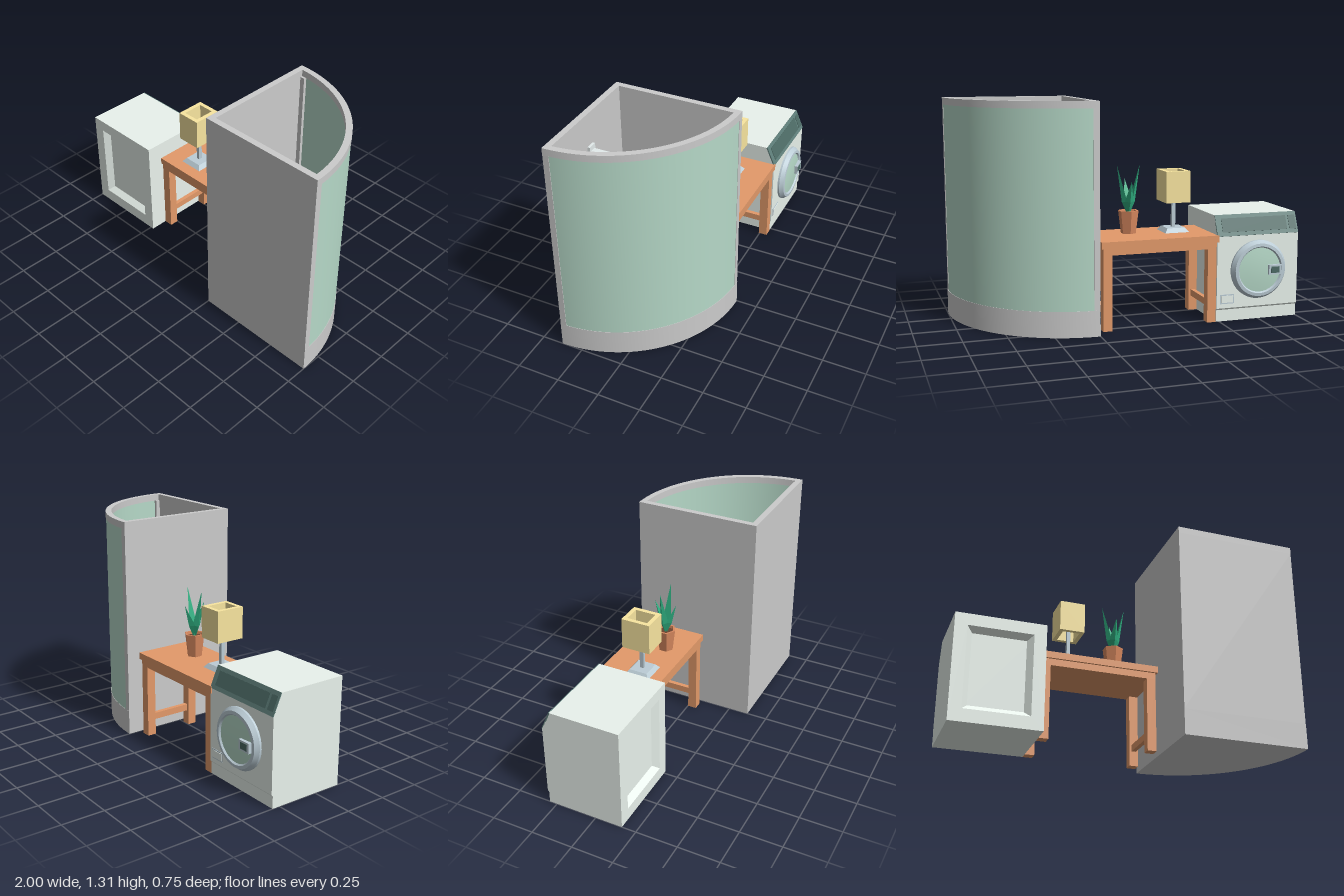
import * as THREE from 'three';
import { toCreasedNormals } from 'three/addons/utils/BufferGeometryUtils.js';
import { ConvexGeometry } from 'three/addons/geometries/ConvexGeometry.js';

const mat = (color, opts = {}) => new THREE.MeshStandardMaterial({ color, ...opts });
const grey = mat(0xcccccc);
const greyThin = mat(0xcccccc, { side: THREE.DoubleSide });
const glass = mat(0xb6d9c8);
const enamel = mat(0xeaf3ed);
const enamelThin = mat(0xeaf3ed, { side: THREE.DoubleSide });
const teal = mat(0x5f7f7a);
const darkTeal = mat(0x4c6a65);
const metal = mat(0xbccdd6);
const chrome = mat(0xe4ecec);
const wood = mat(0xe39a6a);
const clay = mat(0xd98a60, { flatShading: true });
const soil = mat(0x6b4430);
const leafGreen = mat(0x2fae80, { flatShading: true });
const fabric = mat(0xf9e6a0);

function add(parent, name, geometry, material, x = 0, y = 0, z = 0) {
  const mesh = new THREE.Mesh(geometry, material);
  mesh.name = name;
  mesh.position.set(x, y, z);
  parent.add(mesh);
  return mesh;
}

// Box given by its limits on each axis
function box(parent, name, material, x0, x1, y0, y1, z0, z1) {
  return add(parent, name, new THREE.BoxGeometry(x1 - x0, y1 - y0, z1 - z0), material,
    (x0 + x1) / 2, (y0 + y1) / 2, (z0 + z1) / 2);
}

function group(parent, name) {
  const g = new THREE.Group();
  g.name = name;
  parent.add(g);
  return g;
}

const extrude = (shape, depth) => toCreasedNormals(
  new THREE.ExtrudeGeometry(shape, { depth, bevelEnabled: false, curveSegments: 40 }), 0.4);

// Extrude a plan outline upwards, from y0 to y1
const raise = (shape, y0, y1) => extrude(shape, y1 - y0).rotateX(-Math.PI / 2).translate(0, y0, 0);

// Sloping band between two matching outlines at depths za and zb
function loft(a, za, b, zb) {
  const pa = a.getPoints(40), pb = b.getPoints(40), pos = [];
  for (let i = 0; i < pa.length; i++) {
    const j = (i + 1) % pa.length;
    const A = [pa[i].x, pa[i].y, za], B = [pa[j].x, pa[j].y, za];
    const C = [pb[j].x, pb[j].y, zb], D = [pb[i].x, pb[i].y, zb];
    pos.push(...A, ...C, ...B, ...A, ...D, ...C);
  }
  const g = new THREE.BufferGeometry();
  g.setAttribute('position', new THREE.Float32BufferAttribute(pos, 3));
  g.computeVertexNormals();
  return toCreasedNormals(g, 0.4);
}

function rect(x0, x1, y0, y1) {
  return new THREE.Shape([[x0, y0], [x1, y0], [x1, y1], [x0, y1]].map(p => new THREE.Vector2(...p)));
}

function withHole(shape, hole) {
  shape.holes.push(hole);
  return shape;
}

// Quarter-round plan, inset from the straight sides, with arc radius r
const CX = 0.25, CY = -0.375;
function quarter(inset, r) {
  const a = Math.asin(inset / r);
  const s = new THREE.Shape();
  s.moveTo(CX + inset, CY + inset);
  s.lineTo(CX + r * Math.cos(a), CY + inset);
  s.absarc(CX, CY, r, a, Math.PI / 2 - a, false);
  s.lineTo(CX + inset, CY + inset);
  return s;
}

function buildShower(root) {
  const g = group(root, 'showerCabin');
  const ring = () => withHole(quarter(0, 0.75), quarter(0.035, 0.715));
  add(g, 'bottomBand', raise(ring(), 0, 0.15), grey);
  add(g, 'topBand', raise(ring(), 1.27, 1.31), grey);
  box(g, 'frontWall', grey, 0.25, 0.999, 0.15, 1.27, 0.34, 0.375);
  box(g, 'sideWall', grey, 0.25, 0.285, 0.15, 1.27, -0.374, 0.34);

  // Tray with a sloped lip
  const lip = () => quarter(0.065, 0.687), floor = () => quarter(0.085, 0.667);
  add(g, 'trayFloor', raise(quarter(0.03, 0.72), 0, 0.05), grey);
  add(g, 'trayLip', raise(withHole(quarter(0.03, 0.72), lip()), 0.05, 0.12), grey);
  add(g, 'traySlope', loft(lip(), 0.12, floor(), 0.05).rotateX(-Math.PI / 2), greyThin);

  // Curved glass and its inner jambs
  const a = 0.048, pane = new THREE.Shape();
  pane.absarc(CX, CY, 0.748, a, Math.PI / 2 - a, false);
  pane.lineTo(CX + 0.722 * Math.sin(a), CY + 0.722 * Math.cos(a));
  pane.absarc(CX, CY, 0.722, Math.PI / 2 - a, a, true);
  pane.closePath();
  add(g, 'curvedGlass', raise(pane, 0.15, 1.27), glass);
  box(g, 'jamb', grey, 0.285, 0.312, 0.12, 1.27, -0.355, -0.325);
  box(g, 'jamb', grey, 0.95, 0.98, 0.12, 1.27, 0.313, 0.34);

  // Drain, shower head and taps
  add(g, 'drain', new THREE.CylinderGeometry(0.04, 0.04, 0.008, 6), darkTeal, 0.48, 0.054, 0.135);
  const f = group(g, 'showerFittings');
  box(f, 'wallPlate', chrome, 0.59, 0.645, 1.04, 1.12, 0.325, 0.342);
  box(f, 'arm', chrome, 0.6, 0.637, 1.065, 1.095, 0.12, 0.33);
  const head = add(f, 'showerHead', new THREE.CylinderGeometry(0.036, 0.068, 0.05, 4, 1), chrome, 0.618, 1.045, 0.135);
  head.rotation.y = Math.PI / 4;
  box(f, 'mixerBar', chrome, 0.54, 0.695, 0.6, 0.64, 0.285, 0.325);
  for (const s of [-1, 1]) {
    const tap = add(f, 'tap', new THREE.CylinderGeometry(0.025, 0.025, 0.04, 8), chrome, 0.618 + s * 0.092, 0.62, 0.305);
    tap.rotation.z = Math.PI / 2;
    box(f, 'wallInlet', chrome, 0.61 + s * 0.055, 0.626 + s * 0.055, 0.61, 0.63, 0.32, 0.342);
  }
}

function buildWasher(root) {
  const g = group(root, 'washingMachine');
  // Side profile as (-z, y), drawn across the width
  const profile = [[-0.13, 0], [0.297, 0], [0.297, 0.07], [0.305, 0.08], [0.305, 0.51], [0.252, 0.63], [-0.13, 0.63]];
  const side = new THREE.Shape(profile.map(p => new THREE.Vector2(...p)));
  add(g, 'body', extrude(side, 0.52).rotateY(Math.PI / 2), enamel, -1, 0, 0);

  // Recessed plain face
  const hole = () => rect(-0.928, -0.552, 0.075, 0.56);
  add(g, 'faceFrame', extrude(withHole(rect(-1, -0.48, 0, 0.63), hole()), 0.035), enamel, 0, 0, 0.13);
  add(g, 'faceBevel', loft(hole(), 0.165, rect(-0.895, -0.585, 0.107, 0.53), 0.131), enamelThin);

  // Sloping control panel
  const p = group(g, 'controlPanel');
  p.position.set(-0.74, 0.57, -0.2785);
  p.rotation.x = 0.416;
  box(p, 'panel', teal, -0.26, 0.26, -0.0655, 0.0655, -0.004, 0.004);
  box(p, 'display', darkTeal, -0.19, 0.225, -0.042, 0.042, -0.007, 0);
  box(p, 'selector', darkTeal, -0.25, -0.205, -0.042, 0.042, -0.007, 0);

  // Round door
  const d = group(g, 'door');
  d.position.set(-0.74, 0.305, -0.305);
  const lathe = pts => toCreasedNormals(new THREE.LatheGeometry(
    pts.map(q => new THREE.Vector2(...q)), 36).rotateX(-Math.PI / 2), 0.4);
  add(d, 'doorRing', lathe([[0.175, 0], [0.175, 0.012], [0.158, 0.036], [0.14, 0.038], [0.132, 0.028]]), metal);
  add(d, 'doorGlass', lathe([[0.136, 0.028], [0.08, 0.034], [0, 0.036]]), glass);
  box(d, 'latch', metal, -0.13, -0.05, -0.03, 0.028, -0.052, -0.02);
  box(d, 'latchGrip', darkTeal, -0.117, -0.063, -0.02, 0.018, -0.054, -0.04);

  // Filter flap
  box(g, 'flapFrame', metal, -0.59, -0.5, 0.107, 0.163, -0.308, -0.3);
  box(g, 'flap', enamel, -0.583, -0.507, 0.114, 0.156, -0.311, -0.3);
}

function buildTable(root) {
  const g = group(root, 'table');
  box(g, 'tableTop', wood, -0.49, 0.223, 0.48, 0.52, -0.31, 0.068);
  box(g, 'apron', wood, -0.478, 0.211, 0.44, 0.48, -0.298, 0.056);
  for (const x of [-0.478, 0.157]) {
    for (const z of [-0.298, 0.002]) box(g, 'leg', wood, x, x + 0.054, 0, 0.44, z, z + 0.054);
    box(g, 'sideStretcher', wood, x + 0.014, x + 0.04, 0.09, 0.13, -0.25, 0.01);
  }
}

function buildLamp(root) {
  const g = group(root, 'lamp');
  g.position.set(-0.287, 0.52, -0.08);
  const base = new THREE.CylinderGeometry(0.078, 0.106, 0.025, 4, 1).rotateY(Math.PI / 4);
  add(g, 'base', toCreasedNormals(base, 0.2), metal, 0, 0.0125, 0);
  box(g, 'pole', metal, -0.01, 0.01, 0.02, 0.25, -0.012, 0.012);
  const shade = withHole(rect(-0.075, 0.075, -0.087, 0.087), rect(-0.05, 0.05, -0.062, 0.062));
  add(g, 'shade', raise(shade, 0.18, 0.365), fabric);
}

function buildPlant(root) {
  const g = group(root, 'pottedPlant');
  g.position.set(-0.01, 0.52, -0.07);
  const pot = [[0, 0], [0.045, 0], [0.062, 0.135], [0.05, 0.135], [0.048, 0.115]];
  const potGeo = new THREE.LatheGeometry(pot.map(p => new THREE.Vector2(...p)), 6);
  add(g, 'pot', potGeo, clay);
  add(g, 'soil', new THREE.CylinderGeometry(0.049, 0.047, 0.01, 6), soil, 0, 0.113, 0);
  // Four pointed leaves, two tall and two short
  for (let i = 0; i < 4; i++) {
    const tip = i % 2 ? 0.315 : 0.405;
    const pts = [[0.006, 0.11, 0], [0.015, 0.19, -0.026], [0.015, 0.19, 0.026],
      [0.04, 0.185, 0], [0.022, 0.21, 0], [0.07, tip, 0]];
    const leaf = add(g, 'leaf', new ConvexGeometry(pts.map(p => new THREE.Vector3(...p))), leafGreen);
    leaf.rotation.y = i * Math.PI / 2;
  }
}

export function createModel() {
  const root = new THREE.Group();
  root.name = 'bathroomSet';
  buildShower(root);
  buildWasher(root);
  buildTable(root);
  buildLamp(root);
  buildPlant(root);
  return root;
}
